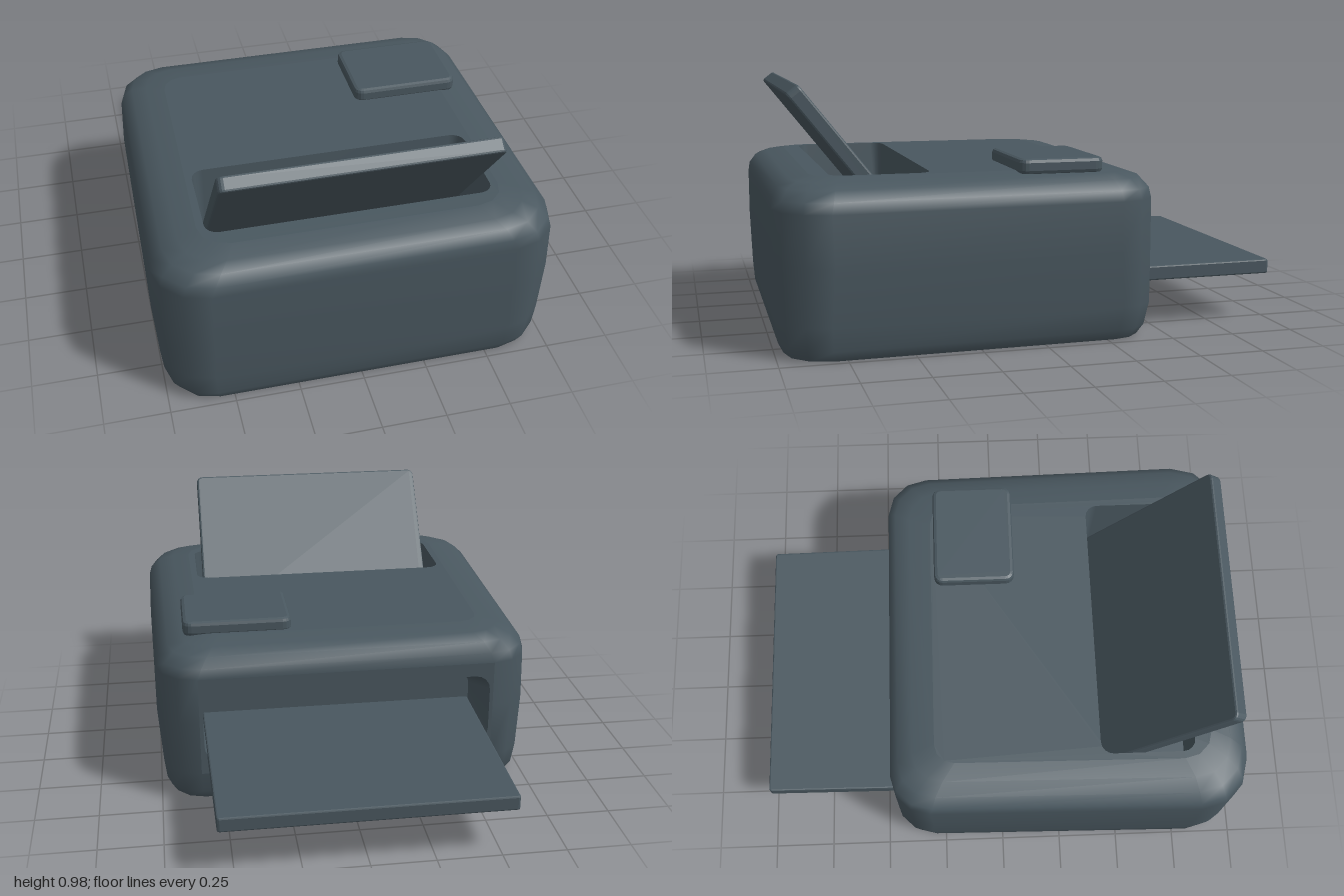
import * as THREE from 'three';

const shellMat = new THREE.MeshStandardMaterial({ color: 0x49575f, side: THREE.DoubleSide });
shellMat.name = 'slate grey plastic';

// Rounded rectangle as a list of points, starting at the +u +v corner;
// r rounds the +v corners and r2 the -v corners
function roundedRect(u0, u1, v0, v1, r, n = 4, r2 = r) {
  const pts = [];
  const corners = [[u1 - r, v1 - r, r], [u0 + r, v1 - r, r], [u0 + r2, v0 + r2, r2], [u1 - r2, v0 + r2, r2]];
  corners.forEach(([u, v, rad], k) => {
    for (let i = 0; i <= n; i++) {
      const a = (k + i / n) * Math.PI / 2;
      pts.push(new THREE.Vector2(u + rad * Math.cos(a), v + rad * Math.sin(a)));
    }
  });
  return pts;
}

// Skin closed rings of Vector3; skip(i, j) leaves a cell open
function loft(rings, skip = () => false) {
  const n = rings[0].length, pos = [], index = [];
  rings.forEach(ring => ring.forEach(p => pos.push(p.x, p.y, p.z)));
  for (let i = 0; i < rings.length - 1; i++) {
    for (let j = 0; j < n; j++) {
      if (skip(i, j)) continue;
      const a = i * n + j, b = i * n + (j + 1) % n, c = a + n, d = b + n;
      index.push(a, c, b, b, c, d);
    }
  }
  const geo = new THREE.BufferGeometry();
  geo.setAttribute('position', new THREE.Float32BufferAttribute(pos, 3));
  geo.setIndex(index);
  geo.computeVertexNormals();
  return geo;
}

function panel(outer, hole) {
  const shape = new THREE.Shape(outer);
  if (hole) shape.holes.push(new THREE.Path(hole));
  return new THREE.ShapeGeometry(shape);
}

// Slab with a rounded outline and a small bevel, thickness along z
function slab(outline, depth, bevel) {
  return new THREE.ExtrudeGeometry(new THREE.Shape(outline), {
    depth: depth - 2 * bevel, bevelThickness: bevel, bevelSize: bevel,
    bevelOffset: -bevel, bevelSegments: 2,
  }).translate(0, 0, bevel);
}

function add(parent, name, geo) {
  const mesh = new THREE.Mesh(geo, shellMat);
  mesh.name = name;
  parent.add(mesh);
  return mesh;
}

export function createModel() {
  const model = new THREE.Group();
  model.name = 'printer';
  const body = new THREE.Group();
  body.name = 'body';
  model.add(body);

  // Housing sections: height, half width, front z, back z, back corner radius
  const sections = [
    [0, 0.72, 0.965, -0.41, 0.13],
    [0.04, 0.745, 0.985, -0.435, 0.145],
    [0.13, 0.755, 0.992, -0.455, 0.15],
    [0.35, 0.772, 1, -0.455, 0.167],
    [0.54, 0.766, 1, -0.455, 0.161],
    [0.58, 0.755, 0.995, -0.45, 0.165],
    [0.618, 0.715, 0.97, -0.42, 0.15],
    [0.638, 0.655, 0.925, -0.36, 0.12],
    [0.65, 0.58, 0.85, -0.27, 0.08],
  ];
  const segments = 3;
  const rings = sections.map(([y, hx, zf, zb, r]) =>
    roundedRect(-hx, hx, zb, zf, r + 0.035, segments, r).map(p => {
      // The housing narrows a little toward the back
      const taper = 1 - 0.026 * THREE.MathUtils.clamp((0.75 - p.y) / 1.1, 0, 1);
      return new THREE.Vector3(p.x * taper, y, p.y);
    }));
  const backCell = 3 * (segments + 1) - 1;
  add(body, 'housing', loft(rings, (i, j) => j === backCell && (i === 2 || i === 3)));

  // Roof with the paper slot
  const flip = pts => pts.map(p => new THREE.Vector2(p.x, -p.y));
  const slotRim = roundedRect(-0.55, 0.55, 0.4, 0.78, 0.05);
  const roofEdge = rings[rings.length - 1].map(p => new THREE.Vector2(p.x, -p.z));
  add(body, 'roof', panel(roofEdge, flip(slotRim)).rotateX(-Math.PI / 2).translate(0, 0.65, 0));

  // Slot well
  const slotBase = roundedRect(-0.53, 0.53, 0.405, 0.775, 0.03);
  const atY = (pts, y) => pts.map(p => new THREE.Vector3(p.x, y, p.y));
  add(body, 'slotWalls', loft([atY(slotRim, 0.65), atY(slotBase, 0.38)]));
  add(body, 'slotFloor', panel(flip(slotBase)).rotateX(-Math.PI / 2).translate(0, 0.38, 0));

  // Back panel with the output opening
  const mouth = roundedRect(-0.575, 0.575, 0.19, 0.485, 0.06);
  const backEdge = [2, 3, 4].map(i => new THREE.Vector2(rings[i][backCell].x, rings[i][backCell].y));
  const mirrored = backEdge.map(p => new THREE.Vector2(-p.x, p.y)).reverse();
  add(body, 'backPanel', panel([...backEdge, ...mirrored], mouth).rotateY(Math.PI).translate(0, 0, -0.455));

  // Output recess, its ceiling sloping down toward the inside
  const throat = roundedRect(-0.57, 0.57, 0.19, 0.36, 0.05);
  const atZ = (pts, z) => pts.map(p => new THREE.Vector3(p.x, p.y, z));
  add(body, 'outputWalls', loft([atZ(mouth, -0.455), atZ(throat, -0.14)]));
  add(body, 'outputBack', panel(throat).rotateY(Math.PI).translate(0, 0, -0.14));

  // Output tray, slightly narrower at its outer end
  const trayGeo = slab(roundedRect(-0.568, 0.568, 0.08, 1, 0.01, 2), 0.058, 0.006)
    .rotateX(-Math.PI / 2).translate(0, 0.188, 0);
  const pos = trayGeo.attributes.position;
  for (let i = 0; i < pos.count; i++) {
    if (pos.getZ(i) < -0.9) pos.setX(i, pos.getX(i) * 0.982);
  }
  add(model, 'outputTray', trayGeo);

  // Leaning paper support
  const support = add(model, 'paperSupport',
    slab(roundedRect(-0.52, 0.52, -0.385, 0.385, 0.025), 0.058, 0.008).translate(0, 0, -0.029));
  support.position.set(0, 0.665, 0.67);
  support.rotation.x = 0.67;

  // Control panel
  add(model, 'controlPanel', slab(roundedRect(0.2, 0.635, -0.08, 0.255, 0.035), 0.06, 0.015)
    .rotateX(-Math.PI / 2).translate(0, 0.638, 0));

  return model;
}
